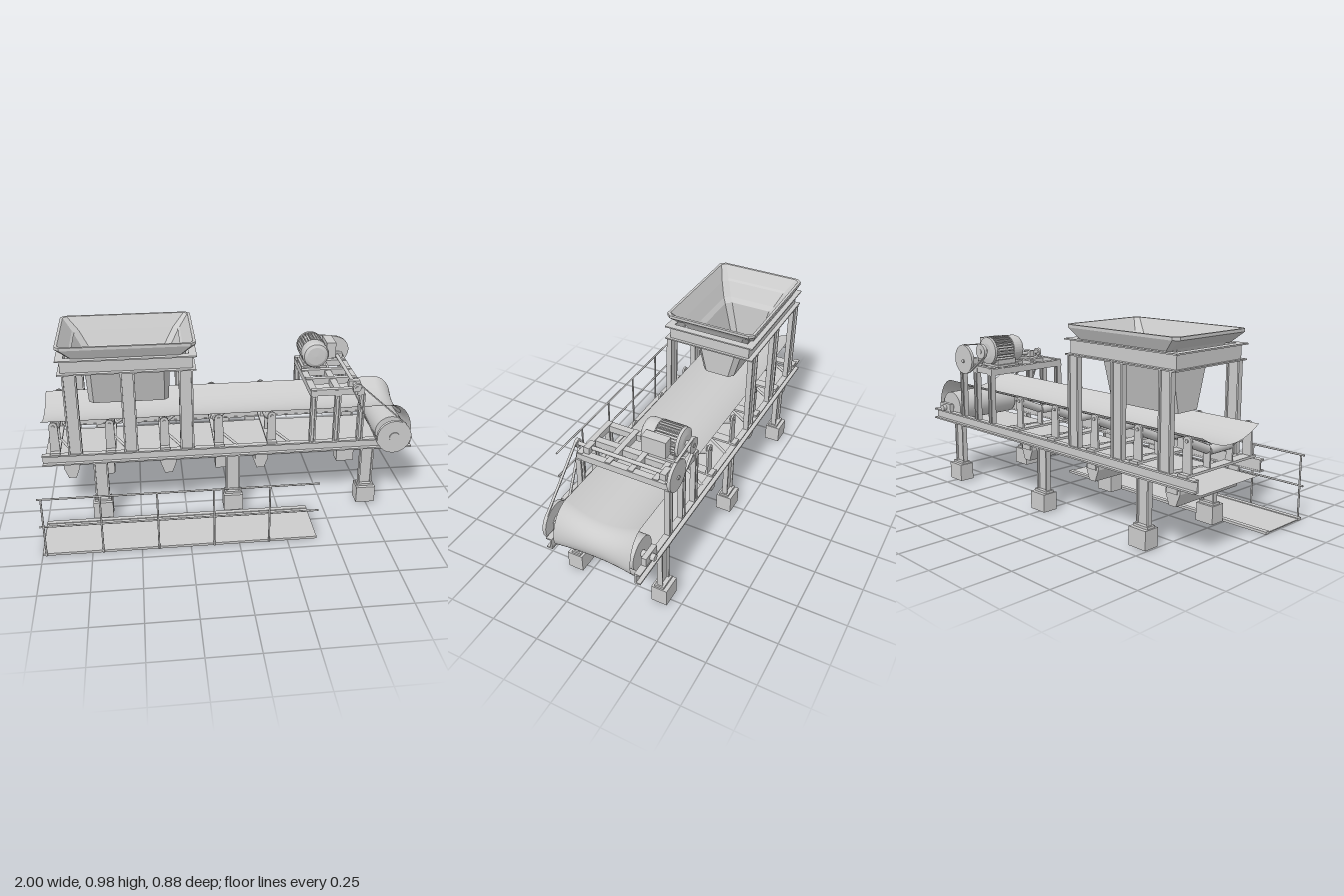
import * as THREE from 'three';

const mat = new THREE.MeshStandardMaterial({ color: 0xcccccc });
const flat = new THREE.MeshStandardMaterial({ color: 0xcccccc, flatShading: true, side: THREE.DoubleSide });
const smooth = new THREE.MeshStandardMaterial({ color: 0xcccccc, side: THREE.DoubleSide });
const ZC = -0.162; // centre line of the conveyor
const SIDES = [1, -1];

export function createModel() {
  const root = new THREE.Group();

  function add(name, geo, x = 0, y = 0, z = 0, m = mat, parent = root) {
    const mesh = new THREE.Mesh(geo, m);
    mesh.name = name;
    mesh.position.set(x, y, z);
    parent.add(mesh);
    return mesh;
  }
  // box given by its limits on each axis
  const box = (name, x0, x1, y0, y1, z0, z1) =>
    add(name, new THREE.BoxGeometry(x1 - x0, y1 - y0, Math.abs(z1 - z0)), (x0 + x1) / 2, (y0 + y1) / 2, (z0 + z1) / 2);
  // disc or shaft with its axis along z
  const disc = (name, x, y, z0, z1, r, n = 32) =>
    add(name, new THREE.CylinderGeometry(r, r, Math.abs(z1 - z0), n).rotateX(Math.PI / 2), x, y, (z0 + z1) / 2);
  // round rod between two points
  function rod(name, a, b, r, n = 16) {
    const p = new THREE.Vector3(...a), d = new THREE.Vector3(...b).sub(p);
    const mesh = add(name, new THREE.CylinderGeometry(r, r, d.length(), n));
    mesh.position.copy(p).addScaledVector(d, 0.5);
    mesh.quaternion.setFromUnitVectors(new THREE.Vector3(0, 1, 0), d.normalize());
    return mesh;
  }
  // upright I-section post, flanges facing along x
  function post(name, x, w, y0, y1, zc, d = 0.028) {
    const t = 0.009;
    box(name + 'Web', x - w / 2 + t, x + w / 2 - t, y0, y1, zc - 0.004, zc + 0.004);
    for (const s of SIDES) {
      const c = x + s * (w - t) / 2;
      box(name + 'Flange', c - t / 2, c + t / 2, y0, y1, zc - d / 2, zc + d / 2);
    }
  }
  // skin through chamfered rectangles [y, halfX, halfZ, chamfer]
  function loft(name, rings, x, z) {
    const outline = ([y, a, b, c]) => [[a, b - c], [a - c, b], [c - a, b], [-a, b - c], [-a, c - b], [c - a, -b], [a - c, -b], [a, c - b]]
      .map(([px, pz]) => [px, y, pz]);
    const pos = [], loops = rings.map(outline);
    for (let i = 0; i < loops.length - 1; i++) {
      for (let j = 0; j < 8; j++) {
        const k = (j + 1) % 8, [a, b, c, d] = [loops[i][j], loops[i][k], loops[i + 1][k], loops[i + 1][j]];
        pos.push(...a, ...b, ...c, ...a, ...c, ...d);
      }
    }
    const g = new THREE.BufferGeometry();
    g.setAttribute('position', new THREE.Float32BufferAttribute(pos, 3));
    g.computeVertexNormals();
    return add(name, g, x, 0, z, flat);
  }
  // the two straight runs of a drive belt around two pulleys
  function driveBelt(name, x1, y1, r1, x2, y2, r2, z, w) {
    const dx = x2 - x1, dy = y2 - y1, D = Math.hypot(dx, dy);
    for (const s of SIDES) {
      const a = Math.atan2(dy, dx) + s * Math.acos((r1 - r2) / D), c = Math.cos(a), n = Math.sin(a);
      const px = x1 + r1 * c, py = y1 + r1 * n, qx = x2 + r2 * c, qy = y2 + r2 * n;
      const run = add(name, new THREE.BoxGeometry(Math.hypot(qx - px, qy - py), 0.006, w), (px + qx) / 2, (py + qy) / 2, z);
      run.rotation.z = Math.atan2(qy - py, qx - px);
    }
  }

  // troughed belt: carrying run, wrap around the head, return run
  const NU = 36, NV = 24, path = [[-1, Math.PI / 2]];
  for (let i = 0; i <= NU; i++) path.push([0.88, Math.PI / 2 - Math.PI * i / NU]);
  path.push([-1, -Math.PI / 2]);
  const bp = [], bi = [];
  path.forEach(([x, a], i) => {
    const sn = Math.sin(a), cs = Math.max(0, Math.cos(a));
    for (let j = 0; j <= NV; j++) {
      const t = j / NV * 2 - 1, e = t * t;
      bp.push(x + (0.095 + 0.02 * e) * cs, 0.41 + 0.095 * sn + 0.06 * e * Math.max(0, sn), ZC + t * (0.203 - 0.005 * sn));
      if (i < path.length - 1 && j < NV) {
        const p = i * (NV + 1) + j, q = p + NV + 1;
        bi.push(p, p + 1, q, p + 1, q + 1, q);
      }
    }
  });
  const belt = new THREE.BufferGeometry();
  belt.setAttribute('position', new THREE.Float32BufferAttribute(bp, 3));
  belt.setIndex(bi);
  belt.computeVertexNormals();
  add('conveyorBelt', belt, 0, 0, 0, smooth);
  disc('headDrum', 0.88, 0.41, ZC - 0.2, ZC + 0.2, 0.085);
  disc('headShaft', 0.88, 0.41, -0.43, 0.12, 0.017, 20);

  // side channels, legs and feet on both sides
  for (const s of SIDES) {
    const z = v => ZC + s * v;
    box('railWeb', -1, 0.99, 0.33, 0.39, z(0.221), z(0.229));
    for (const y of [0.33, 0.382]) box('railFlange', -1, 0.99, y, y + 0.008, z(0.219), z(0.25));
    box('headBearing', 0.83, 0.93, 0.39, 0.435, z(0.222), z(0.247));
    for (const x of [-0.7, 0.005, 0.745]) {
      post('supportLeg', x, 0.075, 0.115, 0.33, z(0.235));
      box('footPlate', x - 0.045, x + 0.045, 0.105, 0.117, z(0.21), z(0.26));
      box('footBlock', x - 0.052, x + 0.052, 0.012, 0.105, z(0.197), z(0.28));
    }
    for (const x of [-0.824, -0.533, -0.237]) post('hopperLeg', x, 0.073, 0.39, 0.84, z(0.235));
    for (const x of [0.435, 0.565, 0.695]) post('drivePost', x, 0.032, 0.39, 0.66, z(0.235));
  }

  // troughing idlers: base angle, rounded brackets, three rollers and braces
  const bracket = new THREE.Shape();
  bracket.moveTo(-0.026, 0.39).lineTo(0.026, 0.39).lineTo(0.022, 0.545);
  bracket.absarc(0, 0.545, 0.022, 0, Math.PI, false).lineTo(-0.026, 0.39);
  const bracketGeo = new THREE.ExtrudeGeometry(bracket, { depth: 0.01, bevelEnabled: false, curveSegments: 10 });
  for (const x of [-0.93, -0.64, -0.355, -0.067, 0.217]) {
    box('idlerBase', x - 0.026, x + 0.026, 0.39, 0.402, ZC - 0.245, ZC + 0.245);
    disc('centreRoller', x, 0.478, ZC - 0.075, ZC + 0.075, 0.022, 16);
    for (const s of SIDES) {
      add('idlerBracket', bracketGeo, x, 0, ZC + s * 0.214 - 0.005);
      rod('wingRoller', [x, 0.486, ZC + s * 0.085], [x, 0.537, ZC + s * 0.207], 0.021);
      disc('rollerPin', x, 0.545, ZC + s * 0.2, ZC + s * 0.225, 0.008, 12);
      box('rollerStand', x - 0.018, x + 0.018, 0.4, 0.485, ZC + s * 0.076, ZC + s * 0.084);
      rod('idlerBrace', [x + 0.02, 0.4, ZC + s * 0.08], [x + 0.1, 0.385, ZC + s * 0.225], 0.008, 6);
    }
  }

  // tapered cross troughs under the return run
  const trough = new THREE.Shape();
  trough.moveTo(-0.042, 0.312).lineTo(-0.042, 0.295).lineTo(-0.02, 0.236).lineTo(0.02, 0.236).lineTo(0.042, 0.295).lineTo(0.042, 0.312);
  const troughGeo = new THREE.ExtrudeGeometry(trough, { depth: 0.436, bevelEnabled: false });
  for (const x of [-0.853, -0.34, 0.16]) {
    add('crossTrough', troughGeo, x, 0, ZC - 0.218);
    for (const s of SIDES) box('troughHanger', x - 0.03, x + 0.03, 0.295, 0.335, ZC + s * 0.214, ZC + s * 0.224);
  }

  // hopper: flared rim outside, funnel inside
  const HX = -0.533;
  loft('hopperRim', [[0.915, 0.28, 0.222, 0.01], [0.97, 0.352, 0.248, 0.025], [0.985, 0.352, 0.248, 0.025], [0.985, 0.338, 0.234, 0.02]], HX, ZC);
  loft('hopperFunnel', [[0.985, 0.338, 0.234, 0.02], [0.915, 0.285, 0.198, 0.03], [0.84, 0.24, 0.163, 0.03], [0.815, 0.22, 0.144, 0.03], [0.61, 0.213, 0.09, 0.025]], HX, ZC);
  // channel-section ring carrying the hopper
  const ring = (name, y0, y1, a, b, t) => {
    for (const s of SIDES) {
      box(name, HX - a, HX + a, y0, y1, ZC + s * (b - t), ZC + s * b);
      const c = HX + s * (a - t / 2);
      box(name, c - t / 2, c + t / 2, y0, y1, ZC - b + t, ZC + b - t);
    }
  };
  ring('hopperFrameWeb', 0.844, 0.912, 0.335, 0.225, 0.01);
  ring('hopperFrameTop', 0.91, 0.917, 0.355, 0.249, 0.04);
  ring('hopperFrameBottom', 0.837, 0.844, 0.35, 0.249, 0.04);

  // drive platform
  for (const x of [0.435, 0.565, 0.685]) box('platformCrossBeam', x - 0.018, x + 0.018, 0.655, 0.69, ZC - 0.248, ZC + 0.248);
  for (const z of [0.07, -0.08, -0.2, -0.33, -0.395]) box('platformBeam', 0.42, 0.7, 0.66, 0.695, z - 0.014, z + 0.014);

  // motor with rounded cowl, cooling fins and terminal box
  const MX = 0.495, MY = 0.78;
  const cowl = [[0, 0], [0.05, 0.002], [0.066, 0.01], [0.073, 0.025], [0.073, 0.075], [0.062, 0.075], [0.062, 0.19], [0.073, 0.19], [0.073, 0.205], [0.04, 0.212], [0, 0.212]]
    .map(p => new THREE.Vector2(...p));
  add('motorBody', new THREE.LatheGeometry(cowl, 32).rotateX(-Math.PI / 2), MX, MY, -0.17, flat);
  for (let i = 0; i < 28; i++) {
    const a = i / 28 * Math.PI * 2;
    const fin = add('motorFin', new THREE.BoxGeometry(0.014, 0.005, 0.115), MX + 0.068 * Math.cos(a), MY + 0.068 * Math.sin(a), -0.303);
    fin.rotation.z = a;
  }
  box('terminalBox', 0.56, 0.612, 0.75, 0.84, -0.338, -0.212);
  box('motorFoot', 0.425, 0.565, 0.694, 0.706, -0.36, -0.22);
  for (const x of [0.45, 0.54]) box('motorFootRib', x - 0.012, x + 0.012, 0.704, 0.735, -0.35, -0.23);
  disc('motorShaft', MX, MY, -0.375, -0.425, 0.012, 16);
  disc('motorPulley', MX, MY, -0.405, -0.423, 0.04);

  // countershaft, pulleys and drive runs to the head drum
  const CX = 0.655, CY = 0.71;
  disc('counterShaft', CX, CY, -0.43, 0.12, 0.01, 16);
  for (const z of [-0.36, 0.04]) box('shaftBearing', CX - 0.03, CX + 0.03, 0.69, 0.725, z - 0.015, z + 0.015);
  disc('largePulley', CX, CY + 0.01, -0.408, -0.424, 0.08, 40);
  disc('smallSprocket', CX, CY, 0.1, 0.116, 0.022);
  disc('headSprocket', 0.88, 0.41, 0.098, 0.116, 0.094, 40);
  disc('sprocketHub', 0.88, 0.41, 0.09, 0.122, 0.028);
  driveBelt('motorBelt', MX, MY, 0.04, CX, CY + 0.01, 0.08, -0.415, 0.014);
  driveBelt('driveChain', CX, CY, 0.022, 0.88, 0.41, 0.094, 0.107, 0.012);

  // walkway with kerbs and handrail
  box('walkwayDeck', -1, 0.405, 0.01, 0.015, 0.13, 0.43);
  for (const z of [0.13, 0.405]) box('walkwayEdge', -1, 0.405, 0.006, 0.019, z, z + 0.026);
  for (const y of [0.18, 0.338]) rod('handrail', [-1, y, 0.432], [0.405, y, 0.432], 0.005, 10);
  for (const x of [-0.98, -0.695, -0.413, -0.13, 0.153]) rod('railPost', [x, 0.006, 0.432], [x, 0.338, 0.432], 0.005, 10);

  return root;
}
